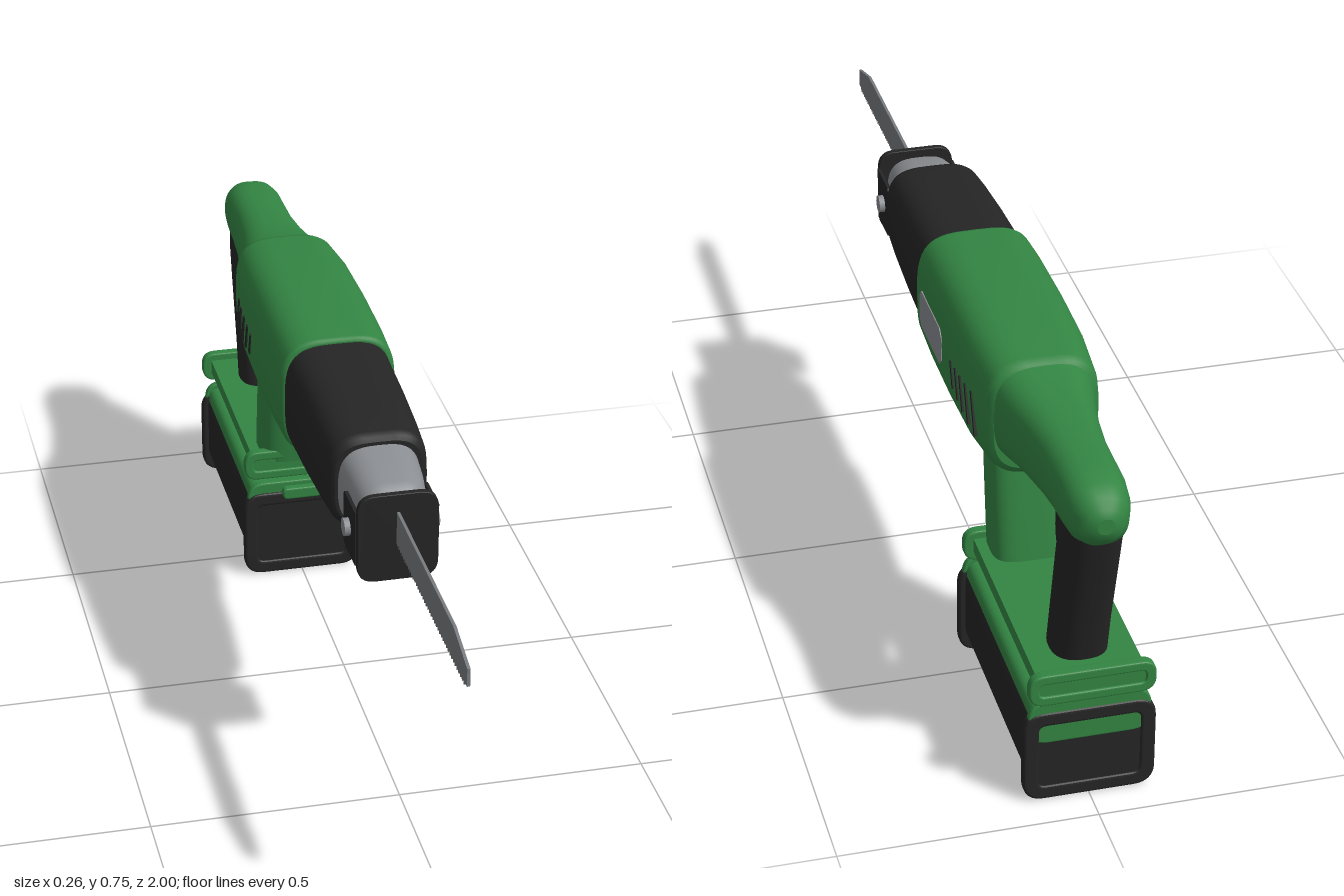
import * as THREE from 'three';

const mat = (name, color) => Object.assign(new THREE.MeshStandardMaterial({ color }), { name });

// Smooth skin through superellipse rings [z, centreX, bottomY, topY, halfWidth, power], z rising
function loft(rings, seg = 48) {
  const pos = [], idx = [];
  const ring = ([z, cx, y0, y1, hw, n]) => {
    for (let j = 0; j < seg; j++) {
      const a = (j / seg) * Math.PI * 2, c = Math.cos(a), s = Math.sin(a);
      pos.push(cx + hw * Math.sign(c) * Math.abs(c) ** (2 / n), 
        (y0 + y1) / 2 + (y1 - y0) / 2 * Math.sign(s) * Math.abs(s) ** (2 / n), z);
    }
  };
  rings.forEach(ring);
  for (let i = 0; i < rings.length - 1; i++) for (let j = 0; j < seg; j++) {
    const a = i * seg + j, b = i * seg + (j + 1) % seg;
    idx.push(a, b, a + seg, b, b + seg, a + seg);
  }
  // Flat caps with their own vertices
  [rings[0], rings[rings.length - 1]].forEach((r, end) => {
    const s = pos.length / 3;
    ring(r);
    pos.push(r[1], (r[2] + r[3]) / 2, r[0]);
    for (let j = 0; j < seg; j++) {
      const k = (j + 1) % seg;
      idx.push(s + seg, s + (end ? j : k), s + (end ? k : j));
    }
  });
  const g = new THREE.BufferGeometry();
  g.setAttribute('position', new THREE.Float32BufferAttribute(pos, 3));
  g.setIndex(idx);
  g.computeVertexNormals();
  return g;
}

// Upright loft: [y, rearZ, frontZ, halfWidth, power], y rising
const column = (rings) => loft(rings.map(([y, zr, zf, hw, n]) => [y, 0, -zf, -zr, hw, n])).rotateX(-Math.PI / 2);

function roundRect(Type, hw, y0, y1, r) {
  const s = new Type();
  s.moveTo(-hw + r, y0).lineTo(hw - r, y0).quadraticCurveTo(hw, y0, hw, y0 + r);
  s.lineTo(hw, y1 - r).quadraticCurveTo(hw, y1, hw - r, y1);
  s.lineTo(-hw + r, y1).quadraticCurveTo(-hw, y1, -hw, y1 - r);
  s.lineTo(-hw, y0 + r).quadraticCurveTo(-hw, y0, -hw + r, y0);
  return s;
}

// Rounded slab facing z, with an optional opening inset from its edge
function slab(hw, y0, y1, r, z0, z1, inset = 0, bevel = 0.004) {
  const s = roundRect(THREE.Shape, hw - bevel, y0 + bevel, y1 - bevel, r);
  if (inset) s.holes.push(roundRect(THREE.Path, hw - inset, y0 + inset, y1 - inset, r * 0.6));
  return new THREE.ExtrudeGeometry(s, {
    depth: z1 - z0 - 2 * bevel, bevelEnabled: bevel > 0, bevelThickness: bevel, bevelSize: bevel,
    bevelSegments: 3, curveSegments: 8,
  }).translate(0, 0, z0 + bevel);
}

// Side outline in (z, y), given a thickness along x
const sideCut = (shape, w) => new THREE.ExtrudeGeometry(shape, { depth: w, bevelEnabled: false, curveSegments: 10 })
  .rotateY(-Math.PI / 2).translate(w / 2, 0, 0);

export function createModel() {
  const green = mat('green housing', 0x338543), black = mat('black rubber', 0x252525);
  const grey = mat('grey metal', 0x8a8d91), steel = mat('blade steel', 0x777b7f);
  const model = new THREE.Group();
  model.name = 'reciprocatingSaw';
  const add = (name, geo, m) => {
    const mesh = new THREE.Mesh(geo, m);
    mesh.name = name;
    model.add(mesh);
    return mesh;
  };

  // Motor housing, front boot and gear nose
  add('motorHousing', loft([
    [-0.585, 0, 0.515, 0.725, 0.098, 3.3], [-0.578, 0, 0.503, 0.737, 0.107, 3.4], [-0.56, 0, 0.498, 0.742, 0.111, 3.5],
    [-0.45, 0, 0.484, 0.752, 0.12, 3.5], [-0.3, 0, 0.478, 0.756, 0.122, 3.5], [-0.15, 0, 0.48, 0.752, 0.122, 3.5],
    [-0.06, 0, 0.487, 0.744, 0.12, 3.5], [-0.052, 0, 0.489, 0.742, 0.117, 3.5], [-0.05, 0, 0.495, 0.736, 0.111, 3.5],
  ]), green);
  add('frontBoot', loft([
    [-0.06, 0, 0.488, 0.734, 0.111, 3.4], [0.1, 0, 0.494, 0.727, 0.108, 3.4], [0.22, 0, 0.502, 0.718, 0.104, 3.4],
    [0.29, 0, 0.507, 0.71, 0.1, 3.4], [0.305, 0, 0.511, 0.705, 0.097, 3.4], [0.31, 0, 0.52, 0.696, 0.088, 3.4],
  ]), black);
  add('gearNose', loft([
    [0.29, 0, 0.515, 0.692, 0.083, 3], [0.36, 0, 0.519, 0.682, 0.078, 3], [0.42, 0, 0.525, 0.667, 0.07, 3],
    [0.436, 0, 0.532, 0.658, 0.062, 3], [0.442, 0, 0.545, 0.645, 0.05, 3],
  ]), grey);
  add('bladeClamp', new THREE.CylinderGeometry(0.03, 0.03, 0.03, 24).rotateX(Math.PI / 2).translate(0, 0.59, 0.446), black);

  // Shoe with folded side ears and pivot bolts
  add('shoePlate', slab(0.08, 0.48, 0.666, 0.035, 0.456, 0.47, 0, 0.002), black);
  for (const s of [-1, 1]) {
    const ear = new THREE.Shape();
    ear.moveTo(0.46, 0.515).lineTo(0.375, 0.515).quadraticCurveTo(0.363, 0.515, 0.363, 0.527);
    ear.lineTo(0.363, 0.618).quadraticCurveTo(0.363, 0.63, 0.375, 0.63).lineTo(0.46, 0.63);
    add('shoeEar', sideCut(ear, 0.007).translate(s * 0.079, 0, 0), black);
    add('pivotBolt', new THREE.CylinderGeometry(0.018, 0.018, 0.03, 20).rotateZ(Math.PI / 2)
      .translate(s * 0.079, 0.573, 0.408), grey);
  }

  // Toothed blade
  const blade = new THREE.Shape();
  blade.moveTo(0.45, 0.628).lineTo(0.45, 0.565);
  const teeth = 42;
  for (let i = 0; i < teeth; i++) {
    const z = 0.46 + (i / teeth) * 0.53;
    blade.lineTo(z, 0.554).lineTo(z + 0.01, 0.563);
  }
  blade.lineTo(1, 0.563).lineTo(1, 0.6).lineTo(0.9, 0.628);
  add('blade', sideCut(blade, 0.006), steel);

  // Rear neck flowing into the rounded grip top
  add('rearNeck', loft([
    [-1, 0, 0.628, 0.66, 0.016, 2.2], [-0.995, 0, 0.611, 0.676, 0.033, 2.3], [-0.98, 0, 0.594, 0.693, 0.048, 2.4],
    [-0.95, 0, 0.583, 0.706, 0.059, 2.5], [-0.91, 0, 0.582, 0.713, 0.063, 2.6], [-0.85, 0, 0.576, 0.714, 0.064, 2.6],
    [-0.78, 0, 0.564, 0.714, 0.066, 2.7], [-0.7, 0, 0.552, 0.717, 0.075, 2.8], [-0.64, 0, 0.544, 0.722, 0.086, 2.9],
    [-0.6, 0, 0.537, 0.73, 0.095, 3], [-0.57, 0, 0.53, 0.735, 0.1, 3],
  ]), green);

  // Grips and trigger
  add('rearGrip', column([
    [0.265, -0.885, -0.768, 0.055, 2.5], [0.36, -0.905, -0.79, 0.055, 2.5], [0.5, -0.942, -0.824, 0.056, 2.5],
    [0.57, -0.962, -0.84, 0.056, 2.5], [0.61, -0.968, -0.85, 0.054, 2.5],
  ]), black);
  add('frontStrut', column([
    [0.265, -0.553, -0.431, 0.081, 3.5], [0.38, -0.535, -0.415, 0.081, 3.5], [0.52, -0.512, -0.398, 0.081, 3.5],
  ]), green);
  const trigger = new THREE.Shape();
  trigger.moveTo(-0.845, 0.58).quadraticCurveTo(-0.775, 0.585, -0.76, 0.53).quadraticCurveTo(-0.75, 0.475, -0.785, 0.447);
  trigger.lineTo(-0.805, 0.455).quadraticCurveTo(-0.785, 0.5, -0.8, 0.535).lineTo(-0.845, 0.545);
  add('trigger', sideCut(trigger, 0.05), black);

  // Base rail with flanged ends
  add('baseRail', new THREE.BoxGeometry(0.205, 0.03, 0.5).translate(0, 0.264, -0.687), green);
  for (const z of [-0.452, -0.945]) {
    add('railFlange', slab(0.122, 0.228, 0.295, 0.026, z, z + 0.022, 0.016), green);
    add('railFlangePanel', slab(0.109, 0.241, 0.282, 0.014, z + 0.005, z + 0.017, 0, 0), green);
  }

  // Battery pack: body, end frames, green cover and latch
  add('batteryBody', slab(0.115, 0.026, 0.2, 0.03, -0.92, -0.425), black);
  for (const z of [-0.437, -0.932]) {
    add('batteryEndFrame', slab(0.128, 0.002, 0.2, 0.035, z, z + 0.024, 0.024, 0.006), black);
    add('batteryEndPanel', slab(0.107, 0.022, 0.182, 0.02, z + 0.004, z + 0.02, 0, 0), black);
    add('coverEnd', slab(0.12, 0.13, 0.224, 0.035, z + 0.003, z + 0.019), green).scale.x = 0.99;
  }
  add('batteryCover', slab(0.112, 0.15, 0.212, 0.02, -0.92, -0.425), green);
  add('batteryLatch', slab(0.043, 0.187, 0.213, 0.006, -0.435, -0.402), green);

  // Slanted cooling slits on both sides
  for (const s of [-1, 1]) for (let i = 0; i < 5; i++) {
    const z = -0.355 - i * 0.037, len = 0.055 + 0.008 * i;
    const slit = add('ventSlit', new THREE.BoxGeometry(0.006, len, 0.009), black);
    slit.position.set(s * (z > -0.45 ? 0.1205 : 0.1205 + (z + 0.45) * 0.085), 0.6, z);
    slit.rotation.x = 0.35;
  }

  // Rating plate on the left side
  const plate = new THREE.Shape();
  plate.moveTo(-0.26, 0.57).lineTo(-0.11, 0.57).lineTo(-0.095, 0.585).lineTo(-0.095, 0.635).lineTo(-0.11, 0.65);
  plate.lineTo(-0.26, 0.65).lineTo(-0.275, 0.635).lineTo(-0.275, 0.585);
  add('ratingPlate', sideCut(plate, 0.008).translate(0.1195, 0, 0), grey);

  return model;
}
